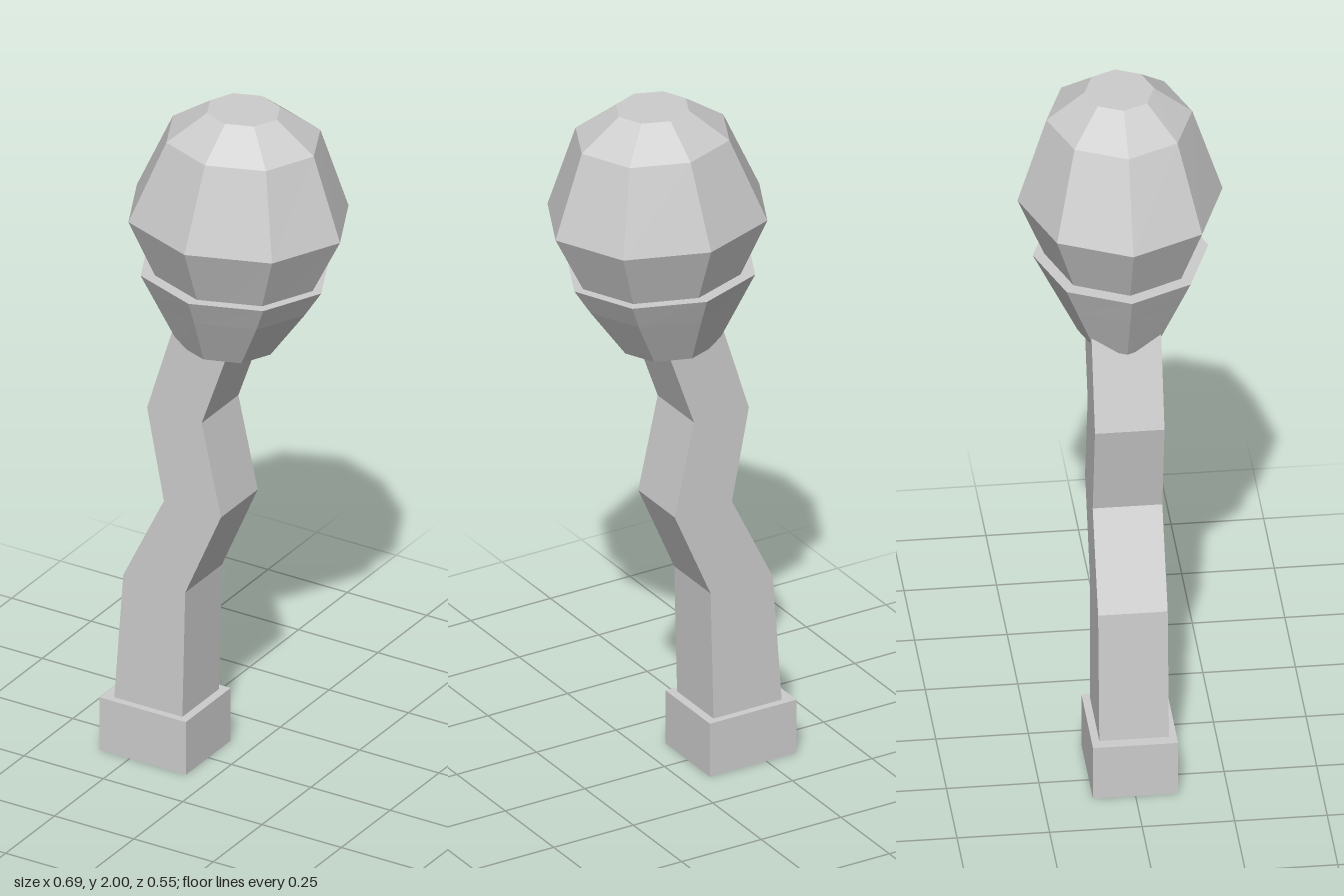
import * as THREE from 'three';

// Closed eight-sided solid through rings [y, centreX, radiusX, radiusZ], bottom to top
function ringSolid(rings, sides = 8) {
  const point = (r, i) => {
    const [y, cx, rx, rz] = rings[r];
    const a = (i / sides) * Math.PI * 2;
    return [cx + rx * Math.cos(a), y, rz * Math.sin(a)];
  };
  const pos = [];
  const last = rings.length - 1;
  for (let i = 0; i < sides; i++) {
    for (let r = 0; r < last; r++) {
      const a = point(r, i), b = point(r, i + 1);
      const c = point(r + 1, i + 1), d = point(r + 1, i);
      pos.push(...a, ...d, ...b, ...b, ...d, ...c);
    }
    // bottom and top caps
    pos.push(rings[0][1], rings[0][0], 0, ...point(0, i), ...point(0, i + 1));
    pos.push(rings[last][1], rings[last][0], 0, ...point(last, i + 1), ...point(last, i));
  }
  const geo = new THREE.BufferGeometry();
  geo.setAttribute('position', new THREE.Float32BufferAttribute(pos, 3));
  geo.computeVertexNormals();
  return geo;
}

export function createModel() {
  const group = new THREE.Group();
  const grey = new THREE.MeshStandardMaterial({ color: 0xcccccc, flatShading: true });
  grey.name = 'grey';

  const add = (name, geo) => {
    const mesh = new THREE.Mesh(geo, grey);
    mesh.name = name;
    group.add(mesh);
    return mesh;
  };

  // Square foot
  add('base', new THREE.BoxGeometry(0.272, 0.16, 0.23)).position.set(-0.209, 0.08, 0);

  // Crooked stem: [y, left edge, right edge] up the outline
  const bends = [
    [0.15, -0.312, -0.097],
    [0.54, -0.283, -0.088],
    [0.80, -0.155, 0.025],
    [1.07, -0.208, -0.036],
    [1.42, -0.098, 0.088],
  ];
  const outline = [
    ...bends.map(([y, , r]) => new THREE.Vector2(r, y)),
    ...bends.map(([y, l]) => new THREE.Vector2(l, y)).reverse(),
  ];
  const depth = 0.188;
  const stem = new THREE.ExtrudeGeometry(new THREE.Shape(outline), { depth, bevelEnabled: false });
  stem.translate(0, 0, -depth / 2);
  add('stem', stem);

  // Cup holding the bulb
  add('cup', ringSolid([
    [1.28, -0.015, 0.138, 0.118],
    [1.43, 0.003, 0.228, 0.196],
    [1.51, 0.01, 0.273, 0.237],
  ]));

  // Faceted bulb
  add('bulb', ringSolid([
    [1.43, 0.015, 0.2, 0.172],
    [1.68, 0.022, 0.32, 0.277],
    [1.92, 0.0375, 0.222, 0.197],
    [2.0, 0.038, 0.105, 0.094],
  ]));

  return group;
}
